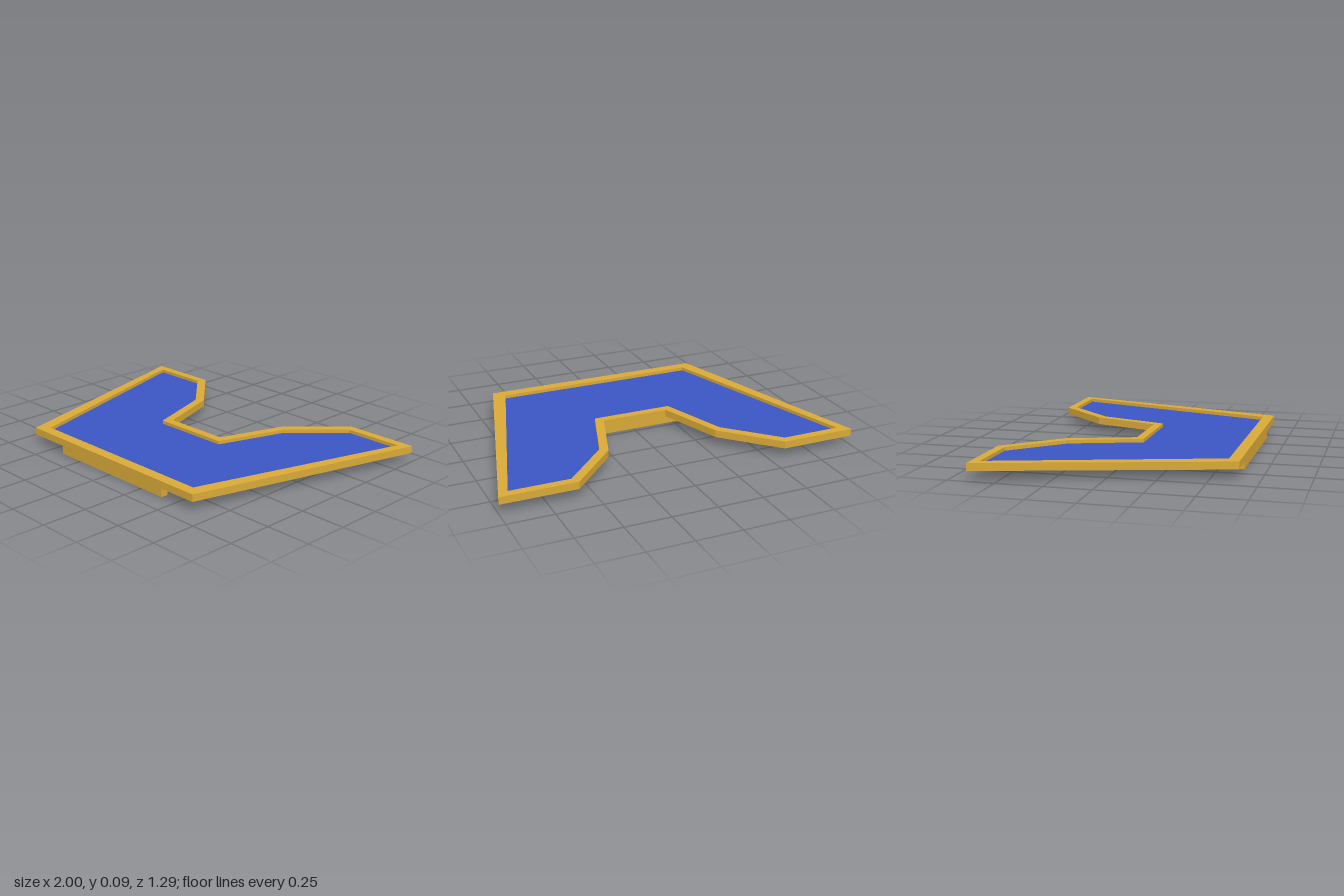
import * as THREE from 'three';

const gold = new THREE.MeshStandardMaterial({ color: 0xd9a938 });
gold.name = 'gold';
const blue = new THREE.MeshStandardMaterial({ color: 0x3a56c4 });
blue.name = 'blue';

// Half outlines as [x, z], running from the back notch to the front corner
const OUTER = [[0.19, 0.005], [0.315, -0.365], [0.585, -0.645], [1, -0.645], [0.635, 0.643]];
const INNER = [[0.225, 0.052], [0.355, -0.335], [0.61, -0.598], [0.938, -0.598], [0.577, 0.582]];

// Mirror a half outline across x = 0 into a closed loop
function mirrored(half) {
  const left = half.map(([x, z]) => new THREE.Vector2(x, z));
  const right = half.map(([x, z]) => new THREE.Vector2(-x, z)).reverse();
  return [...left, ...right];
}

// Extrude a plan shape downwards from top to bottom
function slab(name, shape, bottom, top, material) {
  const geometry = new THREE.ExtrudeGeometry(shape, { depth: top - bottom, bevelEnabled: false });
  geometry.rotateX(Math.PI / 2).translate(0, top, 0);
  const mesh = new THREE.Mesh(geometry, material);
  mesh.name = name;
  return mesh;
}

function bar(name, z) {
  const mesh = new THREE.Mesh(new THREE.BoxGeometry(0.806, 0.053, 0.04).translate(0, 0.0265, z), gold);
  mesh.name = name;
  return mesh;
}

export function createModel() {
  const model = new THREE.Group();
  model.name = 'notchedTray';

  // Raised rim around the recessed panel
  const rim = new THREE.Shape(mirrored(OUTER));
  rim.holes.push(new THREE.Path(mirrored(INNER)));
  model.add(slab('rim', rim, 0.053, 0.093, gold));

  // Tray floor and blue panel
  const inside = new THREE.Shape(mirrored(INNER));
  model.add(slab('floor', inside, 0.053, 0.069, gold));
  model.add(slab('panel', inside, 0.069, 0.074, blue));

  // Support bars; the front one has one corner pulled back
  model.add(bar('rearBar', 0.05));
  const front = bar('frontBar', 0.613);
  const p = front.geometry.attributes.position;
  for (let i = 0; i < p.count; i++) {
    if (p.getX(i) < 0 && p.getY(i) > 0.03 && p.getZ(i) < 0.6) p.setZ(i, 0.58);
  }
  front.geometry.computeVertexNormals();
  model.add(front);

  return model;
}
